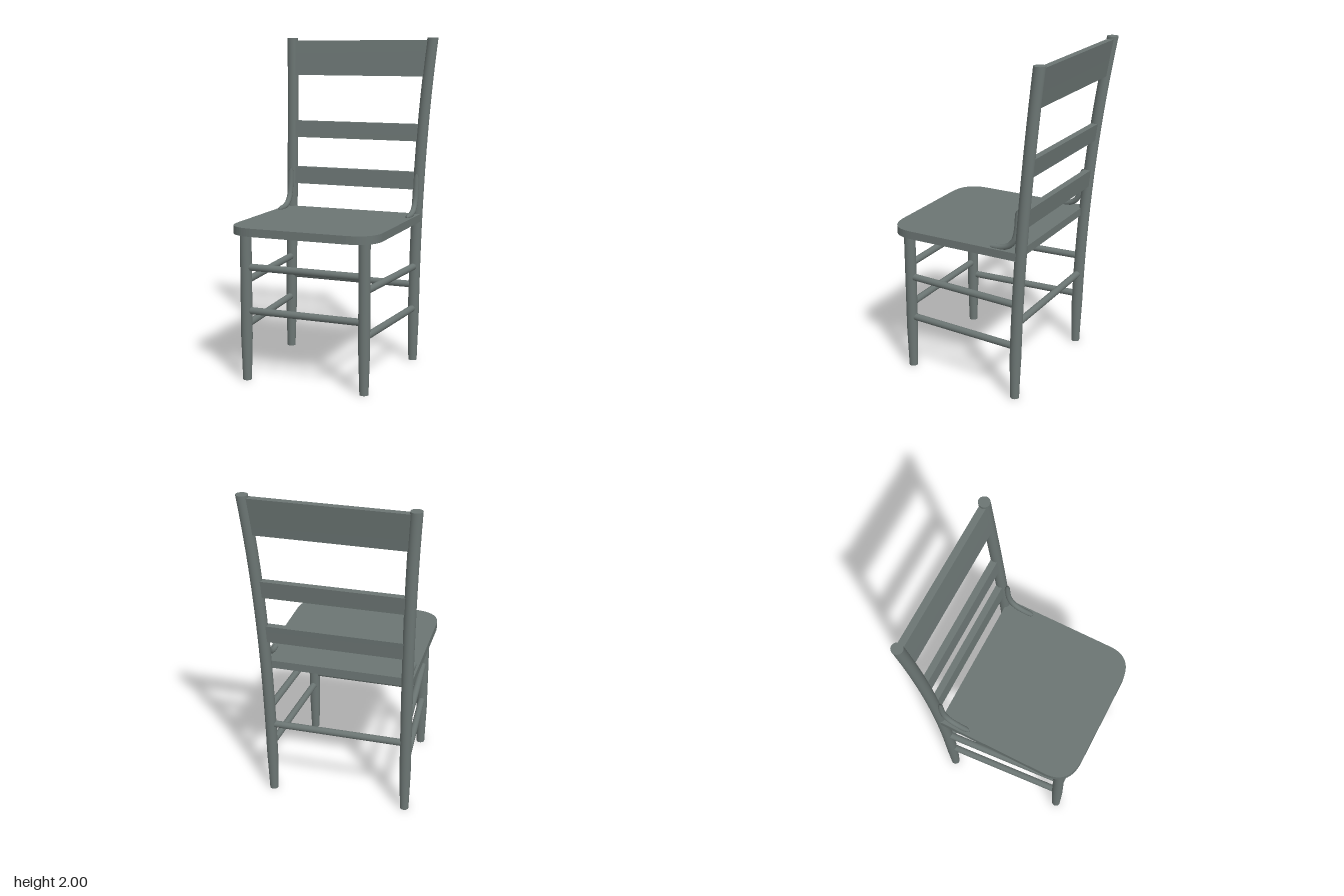
import * as THREE from 'three';

const wood = new THREE.MeshStandardMaterial({ color: 0x6b7573 });
wood.name = 'grey wood';

// Centre line of the raked back posts (left side) by height
const postX = (y) => 0.418 + 0.0067 * y ** 3;
const postZ = (y) => -0.318 - 0.006 * y - 0.038 * y * y;

// Radius of legs and posts: narrow foot, straight above
const legRadius = (y) => 0.026 + 0.008 * Math.min(1, y / 0.26);

function add(group, name, geometry) {
  const mesh = new THREE.Mesh(geometry, wood);
  mesh.name = name;
  group.add(mesh);
  return mesh;
}

// Upright round shaft whose centre and radius follow the height
function shaft(height, segments, centreX, centreZ) {
  const g = new THREE.CylinderGeometry(1, 1, height, 24, segments);
  g.translate(0, height / 2, 0);
  const p = g.attributes.position;
  for (let i = 0; i < p.count; i++) {
    const y = p.getY(i);
    const r = legRadius(y);
    p.setXYZ(i, p.getX(i) * r + centreX(y), y, p.getZ(i) * r + centreZ(y));
  }
  return g;
}

// Round rung between two points
function rung(group, name, a, b, radius = 0.021) {
  const from = new THREE.Vector3(...a);
  const to = new THREE.Vector3(...b);
  const dir = to.clone().sub(from);
  const mesh = add(group, name, new THREE.CylinderGeometry(radius, radius, dir.length(), 16));
  mesh.position.copy(from).add(to).multiplyScalar(0.5);
  mesh.quaternion.setFromUnitVectors(new THREE.Vector3(0, 1, 0), dir.normalize());
}

// Back slat that leans and widens with the posts
function slat(bottom, top) {
  const g = new THREE.BoxGeometry(2, top - bottom, 0.04, 1, 4, 1);
  g.translate(0, (top + bottom) / 2, 0);
  const p = g.attributes.position;
  for (let i = 0; i < p.count; i++) {
    const y = p.getY(i);
    p.setX(i, p.getX(i) * postX(y));
    p.setZ(i, p.getZ(i) + postZ(y));
  }
  g.computeVertexNormals();
  return g;
}

// Seat board with rounded front corners
function seatBoard() {
  const w = 0.453, front = 0.522, back = -0.342;
  const s = new THREE.Shape();
  s.moveTo(-w, -back);
  s.lineTo(-w, -0.36);
  s.quadraticCurveTo(-w, -front, -0.275, -front);
  s.lineTo(0.275, -front);
  s.quadraticCurveTo(w, -front, w, -0.36);
  s.lineTo(w, -back);
  s.closePath();
  const g = new THREE.ExtrudeGeometry(s, { depth: 0.048, bevelEnabled: false, curveSegments: 16 });
  g.rotateX(-Math.PI / 2);
  g.translate(0, 0.879, 0);
  return g;
}

// Curved brace from seat to post, rounded at both ends
function brace(x) {
  const path = new THREE.CatmullRomCurve3([
    [1.175, -0.337], [1.06, -0.33], [1.0, -0.316], [0.958, -0.285], [0.936, -0.235], [0.93, -0.155],
  ].map(([y, z]) => new THREE.Vector3(x, y, z)));
  const segments = 40, sides = 12;
  const g = new THREE.TubeGeometry(path, segments, 1, sides);
  const p = g.attributes.position, n = g.attributes.normal;
  for (let i = 0; i < p.count; i++) {
    const t = Math.floor(i / (sides + 1)) / segments;
    const end = Math.min(1, Math.min(t, 1 - t) / 0.1);
    const r = 0.017 * Math.sqrt(1 - (1 - end) ** 2);
    const c = path.getPointAt(t);
    p.setXYZ(i, c.x + n.getX(i) * r, c.y + n.getY(i) * r, c.z + n.getZ(i) * r);
  }
  return g;
}

export function createModel() {
  const chair = new THREE.Group();
  chair.name = 'chair';

  add(chair, 'seat', seatBoard());

  const legX = 0.368, legZ = 0.424;
  for (const [side, s] of [['left', 1], ['right', -1]]) {
    add(chair, side + 'BackPost', shaft(2, 48, (y) => s * postX(y), postZ));
    add(chair, side + 'FrontLeg', shaft(0.89, 24, () => s * legX, () => legZ));
    add(chair, side + 'Brace', brace(s * 0.423));
    for (const y of [0.597, 0.333]) {
      rung(chair, side + 'SideRung', [s * legX, y, legZ], [s * postX(y), y, postZ(y)]);
    }
  }

  // Cross rungs
  for (const y of [0.68, 0.42]) rung(chair, 'frontRung', [-legX, y, legZ], [legX, y, legZ]);
  rung(chair, 'backRung', [-postX(0.48), 0.48, postZ(0.48)], [postX(0.48), 0.48, postZ(0.48)]);

  // Ladder back
  add(chair, 'lowerSlat', slat(1.074, 1.18));
  add(chair, 'middleSlat', slat(1.37, 1.474));
  add(chair, 'topSlat', slat(1.765, 1.985));

  return chair;
}
